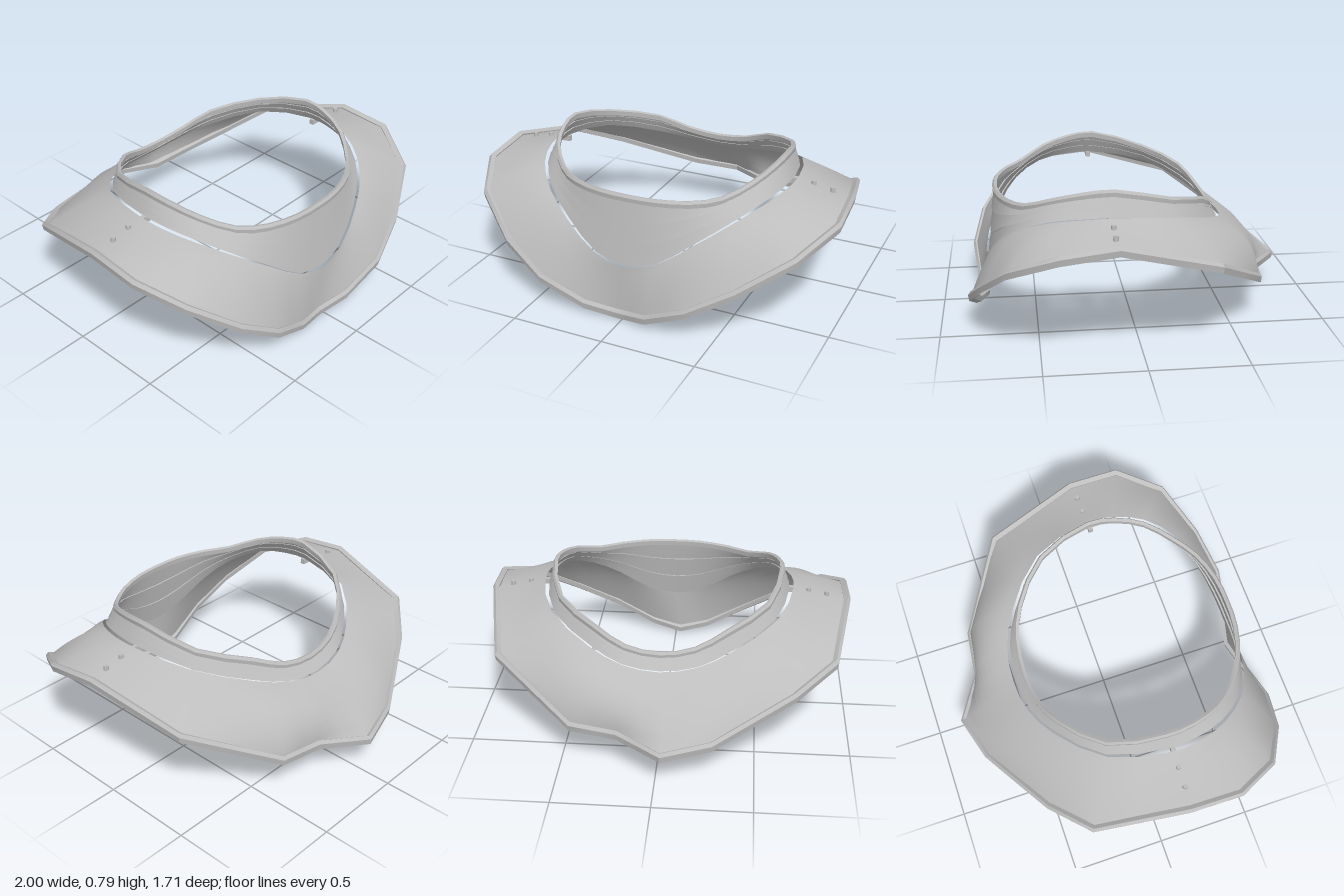
import * as THREE from 'three';
import { toCreasedNormals } from 'three/addons/utils/BufferGeometryUtils.js';

const steel = new THREE.MeshStandardMaterial({ color: 0xbdbdbd, side: THREE.DoubleSide });
steel.name = 'grey steel';

const N = 40; // stations around every ring
const V = (p) => new THREE.Vector3(...p);

// Full ring of 20 points from a half ring running front, left side, back
const mirror = (half) => [...half, ...half.slice(1, -1).reverse().map(([x, y, z]) => [-x, y, z])];

// Smooth ring through the points
function smoothRing(points) {
  const curve = new THREE.CatmullRomCurve3(points.map(V), true);
  return Array.from({ length: N }, (_, i) => curve.getPoint(i / N));
}

// Ring with straight sides between the points
function straightRing(points) {
  const p = points.map(V);
  return Array.from({ length: N }, (_, i) => {
    const t = (i * p.length) / N, k = Math.floor(t);
    return p[k].clone().lerp(p[(k + 1) % p.length], t - k);
  });
}

// Surface joining rings in order; closed joins the last to the first
function loft(name, rings, closed = false, crease = 0.6) {
  const pos = rings.flatMap((r) => r.flatMap((p) => p.toArray()));
  const index = [];
  const rows = closed ? rings.length : rings.length - 1;
  for (let j = 0; j < rows; j++) {
    for (let i = 0; i < N; i++) {
      const a = j * N + i, b = j * N + ((i + 1) % N);
      const k = ((j + 1) % rings.length) * N;
      const c = k + i, d = k + ((i + 1) % N);
      index.push(a, c, b, b, c, d);
    }
  }
  const g = new THREE.BufferGeometry();
  g.setAttribute('position', new THREE.Float32BufferAttribute(pos, 3));
  g.setIndex(index);
  const mesh = new THREE.Mesh(toCreasedNormals(g, crease), steel);
  mesh.name = name;
  return mesh;
}

// Move a ring outward from the neck axis and upward
const offset = (ring, out, up) => ring.map((p) => {
  const d = new THREE.Vector3(p.x, 0, p.z - 0.12).normalize();
  return p.clone().addScaledVector(d, out).add(new THREE.Vector3(0, up, 0));
});
const blend = (a, b, t) => a.map((p, i) => p.clone().lerp(b[i], t));

export function createModel() {
  const group = new THREE.Group();
  group.name = 'neckArmour';

  // Shoulder plate: neck opening, crown and uneven outer edge
  const opening = mirror([
    [0, 0.295, 0.76], [0.17, 0.34, 0.745], [0.35, 0.46, 0.69], [0.5, 0.56, 0.6],
    [0.62, 0.63, 0.45], [0.68, 0.66, 0.28], [0.685, 0.665, 0.12], [0.6, 0.63, -0.18],
    [0.37, 0.55, -0.4], [0.19, 0.5, -0.49], [0, 0.48, -0.515],
  ]);
  const edge = [
    [-0.03, 0.03, 0.77], [0.14, 0.06, 0.81], [0.37, 0.17, 0.84], [0.6, 0.30, 0.78],
    [0.85, 0.465, 0.65], [0.985, 0.57, 0.41], [0.97, 0.6, 0.13], [0.86, 0.455, -0.37],
    [0.44, 0.23, -0.66], [0.2, 0.21, -0.69], [-0.03, 0.19, -0.84], [-0.28, 0.22, -0.77],
    [-0.69, 0.38, -0.54], [-0.9, 0.48, -0.36], [-0.985, 0.6, 0.13], [-0.985, 0.57, 0.41],
    [-0.87, 0.48, 0.64], [-0.65, 0.31, 0.78], [-0.43, 0.17, 0.83], [-0.2, 0.06, 0.8],
  ];
  const bulge = [0.01, 0.015, 0.03, 0.035, 0.025, 0.005, -0.005, 0.005, 0.02, 0.02, 0.01];
  const crown = edge.map(([x, y, z], i) => {
    const [a, b, c] = opening[i];
    return [(x + a) / 2, (y + b) / 2 + bulge[Math.min(i, 20 - i)], (z + c) / 2];
  });
  // Folded ridge across the back
  crown[8] = [0.41, 0.43, -0.59];
  crown[9] = [0.19, 0.38, -0.66];
  crown[10] = [-0.03, 0.36, -0.67];
  crown[11] = [-0.27, 0.37, -0.66];
  const inner = smoothRing(opening), mid = straightRing(crown), outer = straightRing(edge);
  const plateRings = Array.from({ length: 9 }, (_, k) => {
    const t = k / 8;
    return inner.map((p, i) => p.clone().multiplyScalar((1 - t) * (1 - 2 * t))
      .addScaledVector(mid[i], 4 * t * (1 - t)).addScaledVector(outer[i], t * (2 * t - 1)));
  });
  group.add(loft('shoulderPlate', plateRings, false, 1.0));

  // Raised rim along the outer edge
  group.add(loft('outerRim', [
    offset(outer, -0.02, 0.012), offset(outer, 0.003, 0.025),
    offset(outer, 0.017, 0.008), offset(outer, 0.012, -0.025), offset(outer, -0.015, -0.018),
  ], true));

  // Neck guard: overlapping stepped bands, deep at the front and narrow at the sides
  const top = smoothRing(mirror([
    [0, 0.655, 0.7], [0.15, 0.655, 0.69], [0.31, 0.655, 0.64], [0.44, 0.665, 0.55],
    [0.55, 0.72, 0.42], [0.605, 0.76, 0.27], [0.62, 0.775, 0.12], [0.545, 0.705, -0.17],
    [0.34, 0.64, -0.36], [0.18, 0.57, -0.43], [0, 0.545, -0.45],
  ]));
  const bottom = smoothRing(mirror([
    [0, 0.3, 0.735], [0.16, 0.335, 0.725], [0.34, 0.46, 0.67], [0.485, 0.56, 0.58],
    [0.595, 0.63, 0.44], [0.645, 0.655, 0.28], [0.653, 0.66, 0.12], [0.572, 0.62, -0.18],
    [0.355, 0.545, -0.38], [0.19, 0.495, -0.465], [0, 0.475, -0.487],
  ]));
  for (let k = 0; k < 3; k++) {
    const hi = blend(top, bottom, k / 3), lo = blend(top, bottom, (k + 1) / 3);
    group.add(loft(`neckBand${k + 1}`, [
      offset(hi, -0.009, 0.004), offset(hi, 0, 0.004), offset(lo, 0.01, 0), offset(lo, 0.001, 0),
    ], true));
  }

  // Rolled lip on top of the neck guard
  group.add(loft('neckLip', [
    offset(top, -0.012, 0.012), offset(top, 0.004, 0.018),
    offset(top, 0.014, 0.004), offset(top, 0.012, -0.018), offset(top, -0.01, -0.015),
  ], true));

  // Rivets on both shoulders and pins joining the bands to the plate
  for (const side of [-1, 1]) {
    for (const [x, y] of [[0.77, 0.642], [0.87, 0.624]]) {
      const rivet = new THREE.Mesh(new THREE.CylinderGeometry(0.012, 0.015, 0.035, 8), steel);
      rivet.name = 'rivet';
      rivet.position.set(side * x, y, 0.14);
      group.add(rivet);
    }
    const pin = new THREE.Mesh(new THREE.BoxGeometry(0.05, 0.03, 0.025), steel);
    pin.name = 'joiningPin';
    pin.position.set(side * 0.665, 0.648, 0.145);
    group.add(pin);
  }
  return group;
}
